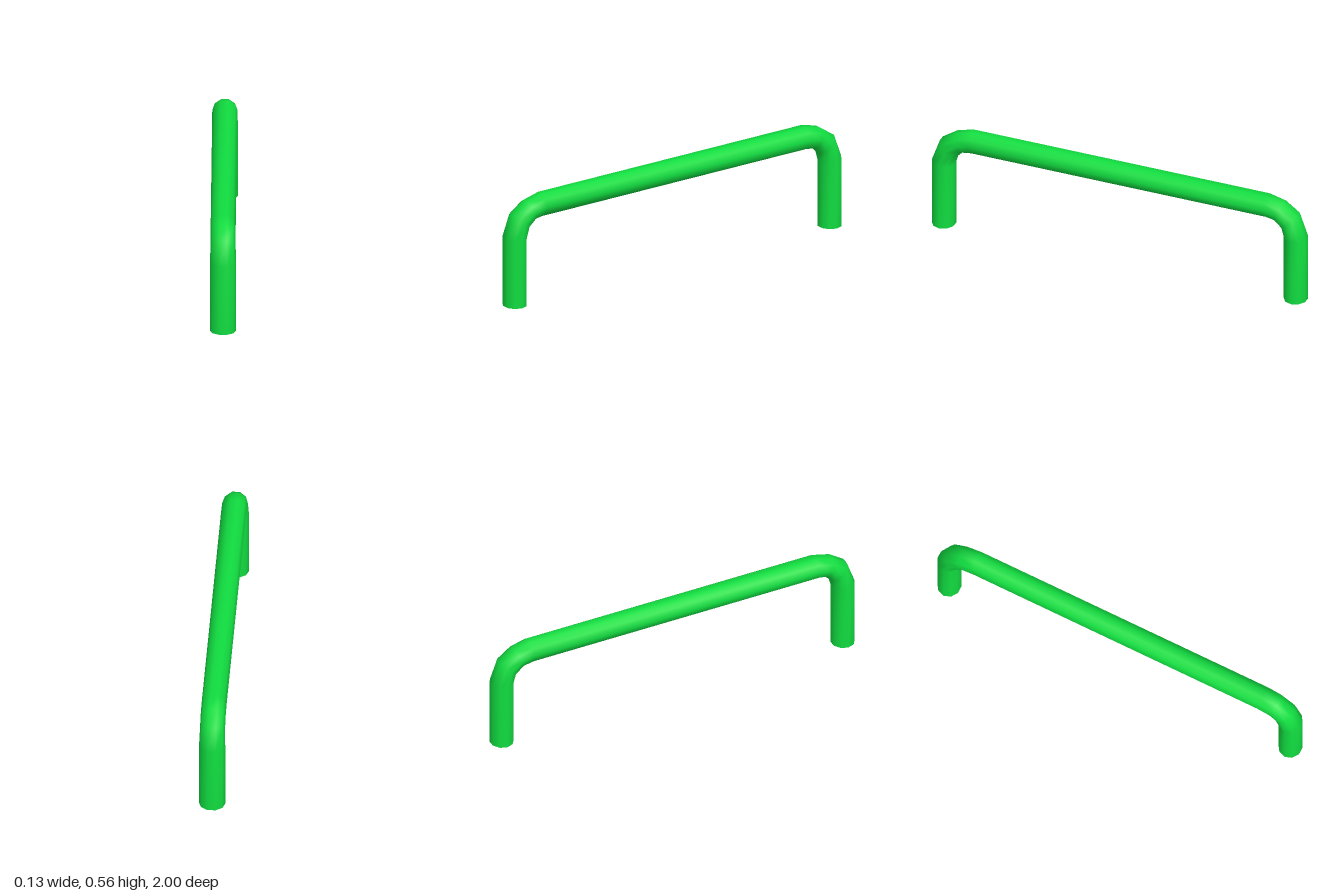
import * as THREE from 'three';

const SIDES = 10;

// Joins ten-sided cross-sections, each [outer z, outer y, inner z, inner y, half width in x]
function loft(rings) {
  const pos = [], index = [];
  const sinMax = Math.sin(Math.PI * 0.4); // the outer and inner faces are flat
  rings.forEach(([oz, oy, iz, iy, w], i) => {
    for (let j = 0; j < SIDES; j++) {
      const t = (j / SIDES) * Math.PI * 2;
      const s = Math.sin(t) / sinMax / 2;
      pos.push(w * Math.cos(t), (oy + iy) / 2 + (oy - iy) * s, (oz + iz) / 2 + (oz - iz) * s);
      if (i === rings.length - 1) continue;
      const a = i * SIDES + j, b = i * SIDES + (j + 1) % SIDES;
      index.push(a, a + SIDES, b, b, a + SIDES, b + SIDES);
    }
  });
  const geo = new THREE.BufferGeometry();
  geo.setAttribute('position', new THREE.Float32BufferAttribute(pos, 3));
  geo.setIndex(index);
  geo.computeVertexNormals();
  return geo;
}

export function createModel() {
  const model = new THREE.Group();
  model.name = 'barHandle';
  const green = new THREE.MeshStandardMaterial({ color: 0x11dd40 });

  // Bent bar: front leg, bend and half of the grip, then mirrored to the back
  const half = [
    [1, 0, 0.886, 0, 0.065],
    [1, 0.36, 0.886, 0.35, 0.065],
    [0.957, 0.48, 0.872, 0.4, 0.062],
    [0.877, 0.535, 0.838, 0.435, 0.062],
    [0.79, 0.558, 0.79, 0.442, 0.062],
  ];
  const back = half.map(([oz, oy, iz, iy, w]) => [-oz, oy, -iz, iy, w]).reverse();
  const bar = new THREE.Mesh(loft([...half, ...back]), green);
  bar.name = 'bar';
  model.add(bar);

  // Leg ends: a thin rim around a shallow screw recess
  const c = 0.943;
  const ring = (r, y) => [c + r * 0.057, y, c - r * 0.057, y, r * 0.065];
  const endGeo = loft([ring(0.01, 0.05), ring(0.68, 0.05), ring(0.72, 0), ring(1, 0)]).toNonIndexed();
  endGeo.computeVertexNormals();
  ['frontLegEnd', 'backLegEnd'].forEach((name, i) => {
    const end = new THREE.Mesh(endGeo, green);
    end.name = name;
    end.rotation.y = i * Math.PI;
    model.add(end);
  });

  return model;
}
